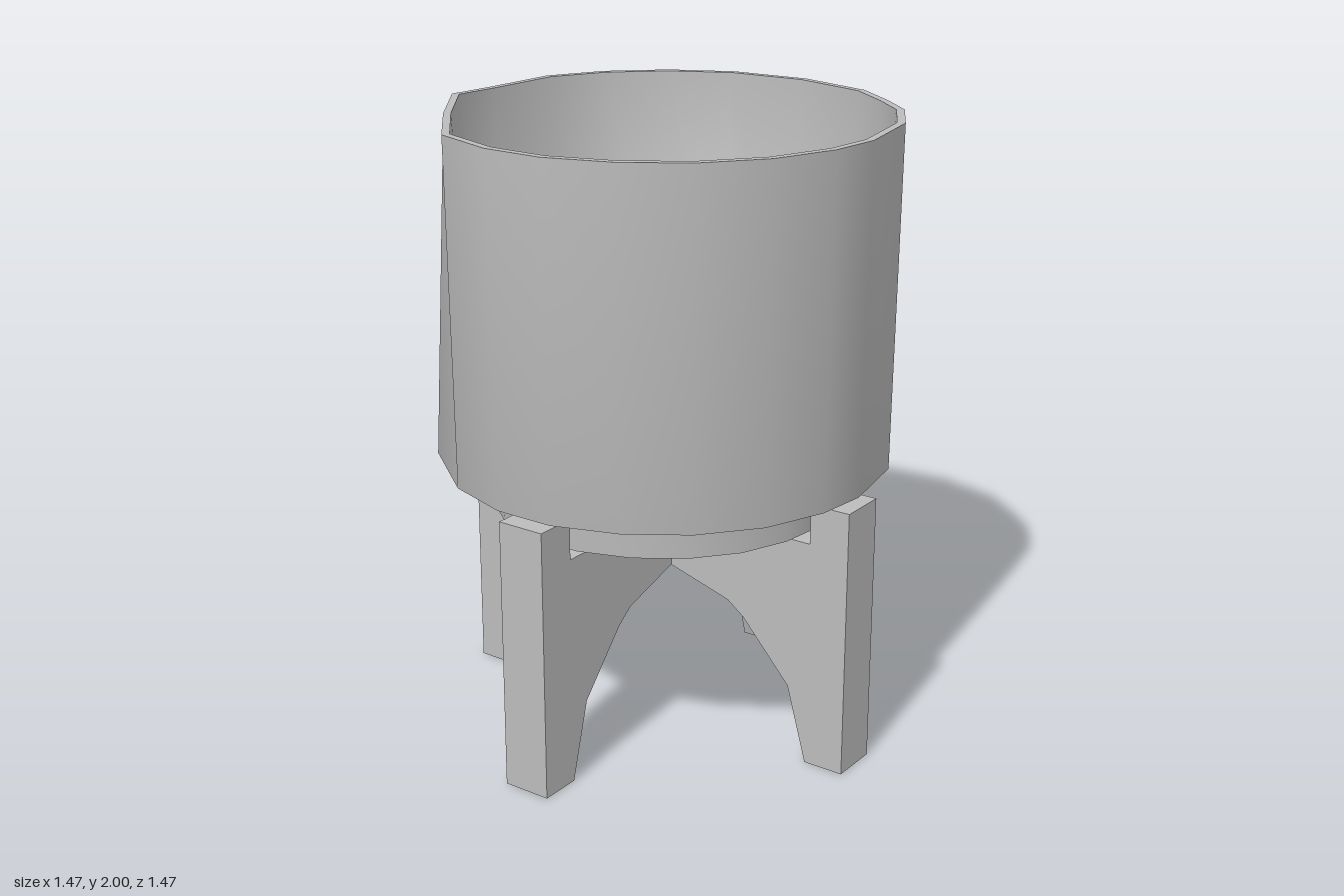
import * as THREE from 'three';
import { mergeVertices } from 'three/addons/utils/BufferGeometryUtils.js';

// Uneven hand-formed outline of the pot, [x, z], from the front round by the left
const OUTLINE = [
  [0, 0.73], [0.27, 0.68], [0.45, 0.575], [0.55, 0.46], [0.66, 0.31],
  [0.725, 0.05], [0.7, -0.22], [0.6, -0.42], [0.45, -0.58], [0.27, -0.68],
  [0, -0.7], [-0.16, -0.72], [-0.46, -0.58], [-0.66, -0.32], [-0.73, -0.1],
  [-0.73, 0.1], [-0.66, 0.31], [-0.54, 0.49], [-0.37, 0.63], [-0.17, 0.71],
];
const FLAT_SPOT = 12; // corner that is pressed inwards at the rim

// Turns a profile of [scale of the outline, height] with smooth normals
function turnOutline(...profile) {
  const points = profile.map(([s, y]) => new THREE.Vector2(s, y));
  const geometry = new THREE.LatheGeometry(points, OUTLINE.length);
  const position = geometry.attributes.position;
  for (let i = 0; i < position.count; i++) {
    const corner = Math.floor(i / profile.length) % OUTLINE.length;
    const [x, z] = OUTLINE[corner];
    const [s, y] = profile[i % profile.length];
    const k = corner === FLAT_SPOT && y === 2 ? s * 0.91 : s;
    position.setXYZ(i, x * k, y, z * k);
  }
  geometry.deleteAttribute('normal');
  geometry.deleteAttribute('uv');
  const welded = mergeVertices(geometry);
  welded.computeVertexNormals();
  return welded;
}

export function createModel() {
  const model = new THREE.Group();
  const gray = new THREE.MeshStandardMaterial({ color: 0xbcbcbc });
  gray.name = 'plain gray';

  const add = (name, geometry, parent) => {
    const mesh = new THREE.Mesh(geometry, gray);
    mesh.name = name;
    parent.add(mesh);
    return mesh;
  };

  // Pot: a foot, an outer wall with its underside, and a deep hollow
  const pot = new THREE.Group();
  pot.name = 'pot';
  model.add(pot);
  add('footBase', turnOutline([0, 0.752], [0.775, 0.765]), pot);
  add('footWall', turnOutline([0.775, 0.765], [0.785, 0.905]), pot);
  add('outerWall', turnOutline([0.78, 0.905], [0.985, 0.905], [1, 2]), pot);
  add('rim', turnOutline([1, 2], [0.965, 2]), pot);
  add('hollow', turnOutline([0.965, 2], [0.93, 0.95], [0, 0.93]), pot);

  // Stand: four legs, each with an arched arm reaching the hub
  const stand = new THREE.Group();
  stand.name = 'stand';
  model.add(stand);
  const width = 0.16;
  const outline = [
    [0.08, 0.75], [0.08, 0.55], [0.3, 0.485], [0.36, 0.44], [0.53, 0.25], [0.6, 0],
    [0.735, 0], [0.735, 0.88], [0.6, 0.88], [0.6, 0.75],
  ].map(([x, y]) => new THREE.Vector2(x, y));
  const legGeometry = new THREE.ExtrudeGeometry(new THREE.Shape(outline), {
    depth: width, bevelEnabled: false,
  }).translate(0, 0, -width / 2);
  ['leftLeg', 'backLeg', 'rightLeg', 'frontLeg'].forEach((name, i) => {
    add(name, legGeometry, stand).rotation.y = (i * Math.PI) / 2;
  });
  add('hub', new THREE.BoxGeometry(width, 0.2, width), stand).position.y = 0.65;

  return model;
}
